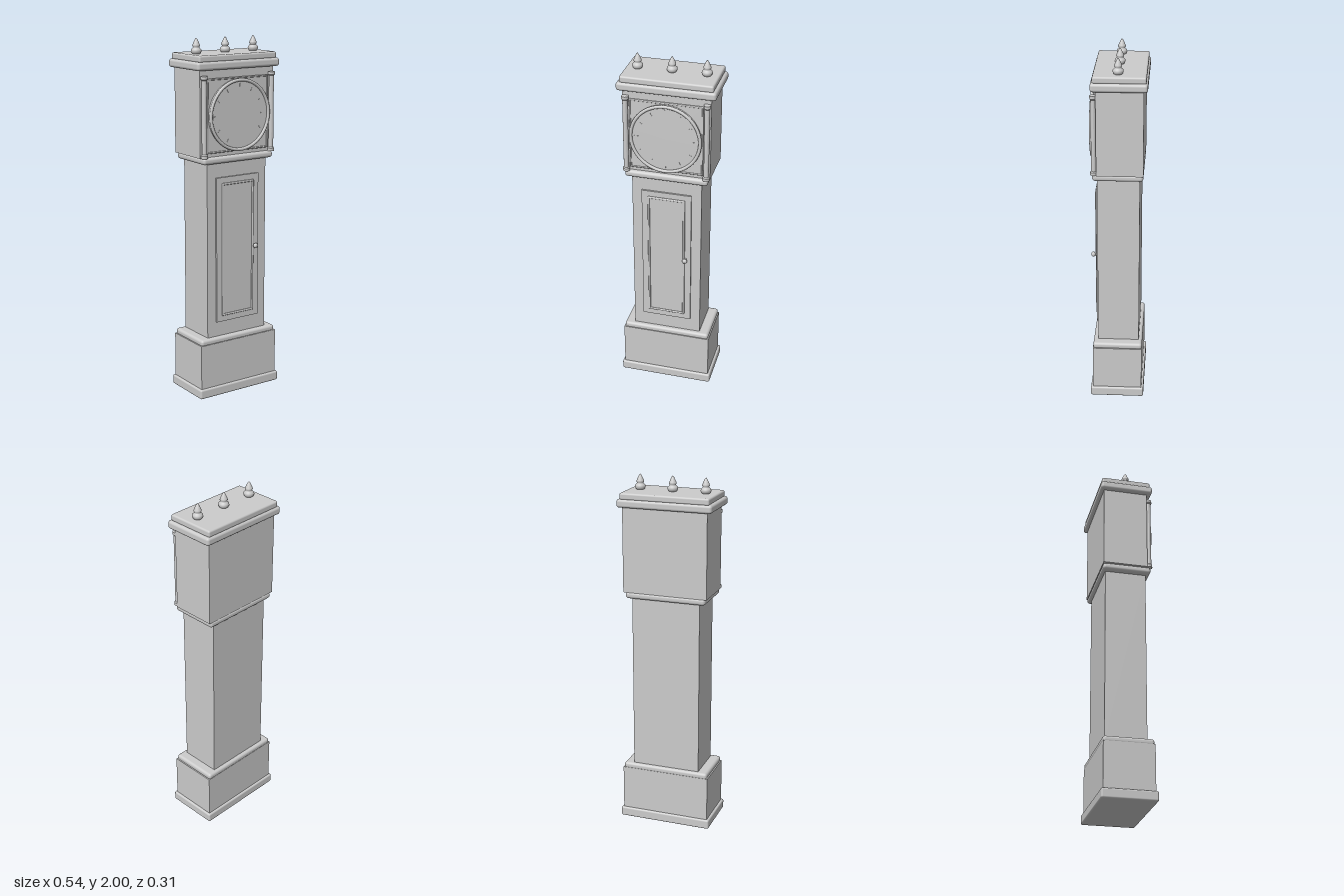
import * as THREE from 'three';
import { RoundedBoxGeometry } from 'three/addons/geometries/RoundedBoxGeometry.js';

export function createModel() {
  const clock = new THREE.Group();
  clock.name = 'longcaseClock';
  const mat = new THREE.MeshStandardMaterial({ color: 0xcccccc });

  const add = (name, geo, x = 0, y = 0, z = 0, parent = clock) => {
    const mesh = new THREE.Mesh(geo, mat);
    mesh.name = name;
    mesh.position.set(x, y, z);
    parent.add(mesh);
    return mesh;
  };
  // Block from half width, y range and z range; r > 0 rounds the edges
  const block = (name, hw, y0, y1, z0, z1, r = 0) => {
    const size = [hw * 2, y1 - y0, z1 - z0];
    const geo = r ? new RoundedBoxGeometry(...size, 4, r) : new THREE.BoxGeometry(...size);
    return add(name, geo, 0, (y0 + y1) / 2, (z0 + z1) / 2);
  };
  // Rectangular bead frame of four rounded rails
  const frame = (name, hw, y0, y1, z, t) => {
    const g = new THREE.Group();
    g.name = name;
    clock.add(g);
    for (const s of [-1, 1]) {
      add('stile', new RoundedBoxGeometry(t, y1 - y0, t, 3, t * 0.45), s * (hw - t / 2), (y0 + y1) / 2, z, g);
      add('rail', new RoundedBoxGeometry(hw * 2, t, t, 3, t * 0.45), 0, s > 0 ? y1 - t / 2 : y0 + t / 2, z, g);
    }
  };
  const lathe = (pts, seg = 32) =>
    new THREE.LatheGeometry(pts.map(([r, y]) => new THREE.Vector2(r, y)), seg);

  // Base
  block('plinth', 0.268, 0, 0.055, -0.148, 0.155, 0.01);
  block('baseBox', 0.255, 0.05, 0.31, -0.136, 0.142);
  block('baseMoulding', 0.25, 0.303, 0.34, -0.137, 0.14, 0.015);

  // Waist with its door
  block('waist', 0.195, 0.33, 1.345, -0.117, 0.114);
  block('door', 0.14, 0.425, 1.25, 0.11, 0.124);
  block('doorPanel', 0.1, 0.465, 1.212, 0.115, 0.126);
  frame('doorBead', 0.106, 0.458, 1.218, 0.126, 0.012);
  const knob = add('doorKnob', lathe([
    [0, 0], [0.008, 0], [0.006, 0.01], [0.007, 0.013], [0.013, 0.018],
    [0.015, 0.024], [0.012, 0.03], [0.006, 0.034], [0, 0.035]], 20), 0.11, 0.838, 0.121);
  knob.rotation.x = Math.PI / 2;

  // Hood
  block('hoodMoulding', 0.23, 1.33, 1.368, -0.136, 0.138, 0.016);
  block('hoodBox', 0.24, 1.365, 1.845, -0.136, 0.115);
  block('dialPlate', 0.2, 1.39, 1.79, 0.11, 0.124);
  frame('dialPlateBead', 0.202, 1.388, 1.792, 0.122, 0.01);

  // Dial, bezel and hour marks
  const dial = new THREE.Group();
  dial.name = 'dial';
  dial.position.set(0, 1.588, 0);
  clock.add(dial);
  const face = add('dialFace', new THREE.CylinderGeometry(0.192, 0.192, 0.03, 64), 0, 0, 0.127, dial);
  face.rotation.x = Math.PI / 2;
  add('bezel', new THREE.TorusGeometry(0.189, 0.009, 12, 64), 0, 0, 0.145, dial);
  for (let i = 0; i < 12; i++) {
    const a = (i * Math.PI) / 6;
    const len = i % 3 ? 0.018 : 0.03;
    const mark = add('hourMark', new THREE.BoxGeometry(0.005, len, 0.004),
      Math.sin(a) * 0.155, Math.cos(a) * 0.155, 0.142, dial);
    mark.rotation.z = -a;
  }

  // Hood columns with turned caps and feet
  const column = lathe([
    [0, 0], [0.019, 0], [0.019, 0.016], [0.014, 0.022], [0.014, 0.418],
    [0.019, 0.424], [0.019, 0.44], [0, 0.44]], 24).toNonIndexed();
  column.computeVertexNormals();
  for (const s of [-1, 1]) add(s > 0 ? 'leftColumn' : 'rightColumn', column, s * 0.221, 1.367, 0.128);

  // Cornice
  block('corniceLower', 0.268, 1.836, 1.882, -0.157, 0.143, 0.015);
  block('corniceUpper', 0.252, 1.878, 1.915, -0.149, 0.132, 0.01);

  // Finials: bulb, collar and pointed top
  const finial = lathe([
    [0, 0], [0.018, 0], [0.024, 0.006], [0.029, 0.016], [0.027, 0.026], [0.019, 0.034],
    [0.016, 0.038], [0.021, 0.044], [0.02, 0.05], [0.014, 0.064], [0.007, 0.079], [0, 0.088]]);
  for (const x of [-0.187, 0, 0.187]) add('finial', finial, x, 1.912, 0);

  return clock;
}
